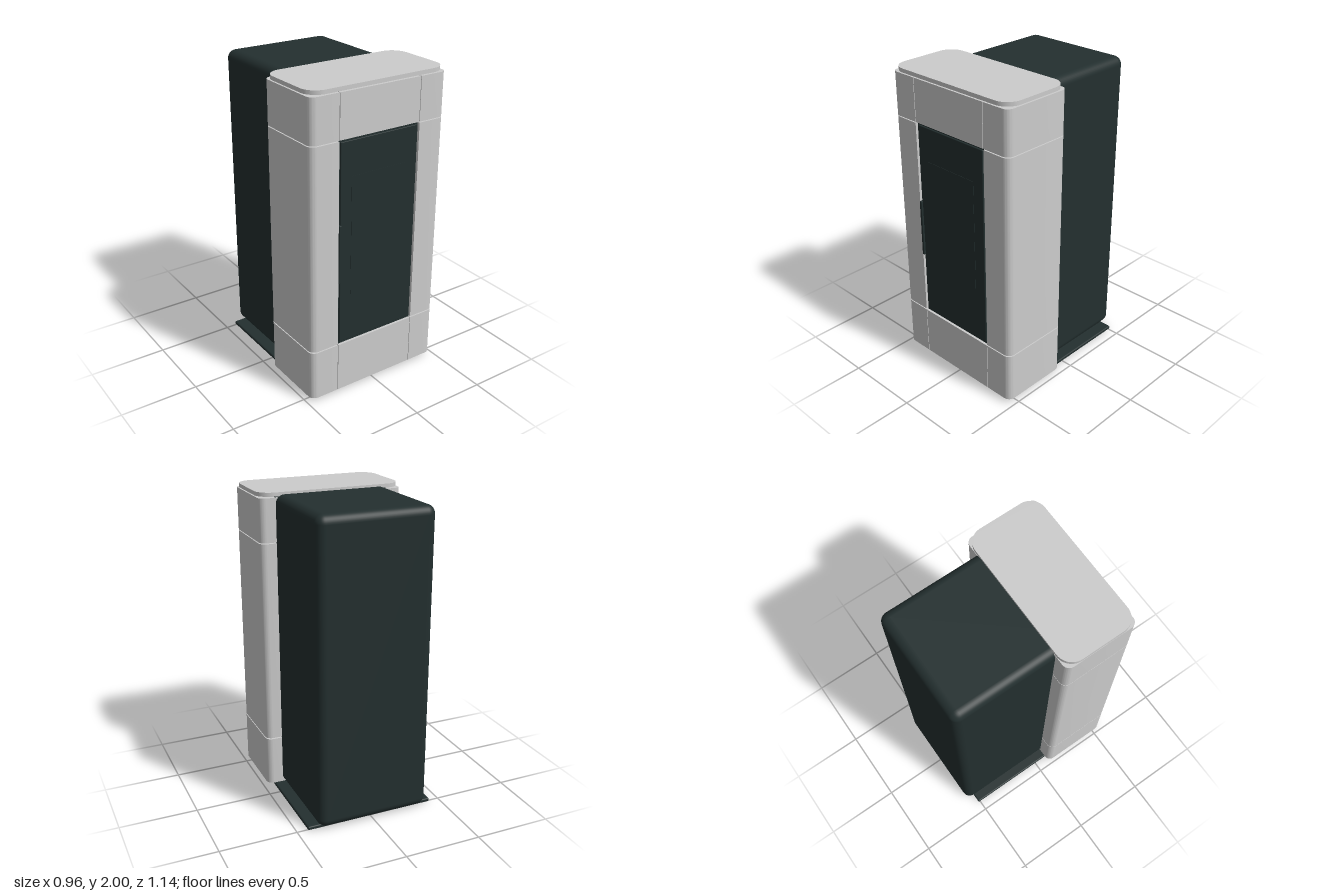
import * as THREE from 'three';
import { toCreasedNormals } from 'three/addons/utils/BufferGeometryUtils.js';
import { RoundedBoxGeometry } from 'three/addons/geometries/RoundedBoxGeometry.js';

const paleGrey = new THREE.MeshStandardMaterial({ color: 0xcccccc });
paleGrey.name = 'pale grey steel';
const darkSteel = new THREE.MeshStandardMaterial({ color: 0x232f2f });
darkSteel.name = 'dark steel';

export function createModel() {
  const model = new THREE.Group();
  model.name = 'stove';

  const add = (name, geometry, material) => {
    const mesh = new THREE.Mesh(geometry, material);
    mesh.name = name;
    model.add(mesh);
    return mesh;
  };

  // Box given by its limits, with optional rounded edges
  const box = (name, material, [x0, x1], [y0, y1], [z0, z1], r = 0) => {
    const size = [x1 - x0, y1 - y0, z1 - z0];
    const geometry = r ? new RoundedBoxGeometry(...size, 5, r) : new THREE.BoxGeometry(...size);
    geometry.translate((x0 + x1) / 2, (y0 + y1) / 2, (z0 + z1) / 2);
    return add(name, geometry, material);
  };

  // Upright slab whose plan has rounded corners of radius rl (at x0) and rr (at x1)
  const slab = (name, material, [x0, x1], [y0, y1], [z0, z1], rl, rr) => {
    const s = new THREE.Shape();
    const a = -z1, b = -z0, q = Math.PI / 2;
    const corner = (x, y, r, start) => {
      if (r) s.absarc(x, y, r, start, start + q, false);
      else s.lineTo(x, y);
    };
    s.moveTo(x0 + rl, a);
    corner(x1 - rr, a + rr, rr, -q);
    corner(x1 - rr, b - rr, rr, 0);
    corner(x0 + rl, b - rl, rl, q);
    corner(x0 + rl, a + rl, rl, 2 * q);
    s.closePath();
    const geometry = new THREE.ExtrudeGeometry(s, { depth: y1 - y0, bevelEnabled: false, curveSegments: 8 });
    geometry.rotateX(-Math.PI / 2).translate(0, y0, 0);
    return add(name, toCreasedNormals(geometry, 0.6), material);
  };

  const depth = [0.085, 0.563];
  const levels = { lower: [0.027, 0.357], middle: [0.365, 1.687], upper: [1.693, 1.968] };

  // Base plate, rear housing and the inner core seen through the gaps
  box('basePlate', darkSteel, [-0.43, 0.43], [0, 0.024], [-0.512, 0.512], 0.009);
  box('rearHousing', darkSteel, [-0.374, 0.374], [0.022, 1.985], [-0.57, 0.3], 0.055);
  box('innerCore', darkSteel, [-0.374, 0.374], [0.024, 1.978], [0.1, 0.52]);

  // Pale side casings in three stacked sections
  for (const [level, y] of Object.entries(levels)) {
    slab(level + 'LeftCasing', paleGrey, [0.287, 0.478], y, depth, 0, 0.045);
    slab(level + 'RightCasing', paleGrey, [-0.478, -0.287], y, depth, 0.045, 0);
  }

  // Front panels above and below the door
  for (const level of ['lower', 'upper']) {
    box(level + 'FrontPanel', paleGrey, [-0.283, 0.283], levels[level], [0.3, depth[1]]);
  }

  // Lid
  slab('lid', paleGrey, [-0.478, 0.478], [1.975, 2], depth, 0.1, 0.1);

  // Door with its glass plate and handle
  box('doorFrame', darkSteel, [-0.285, 0.285], [0.358, 1.692], [0.3, 0.548]);
  box('door', darkSteel, [-0.272, 0.272], [0.375, 1.678], [0.5, 0.558], 0.004);
  box('doorGlass', darkSteel, [-0.195, 0.193], [0.69, 1.46], [0.553, 0.56]);
  box('doorHandle', darkSteel, [-0.286, -0.268], [0.79, 1.17], [0.54, 0.57], 0.004);

  return model;
}
